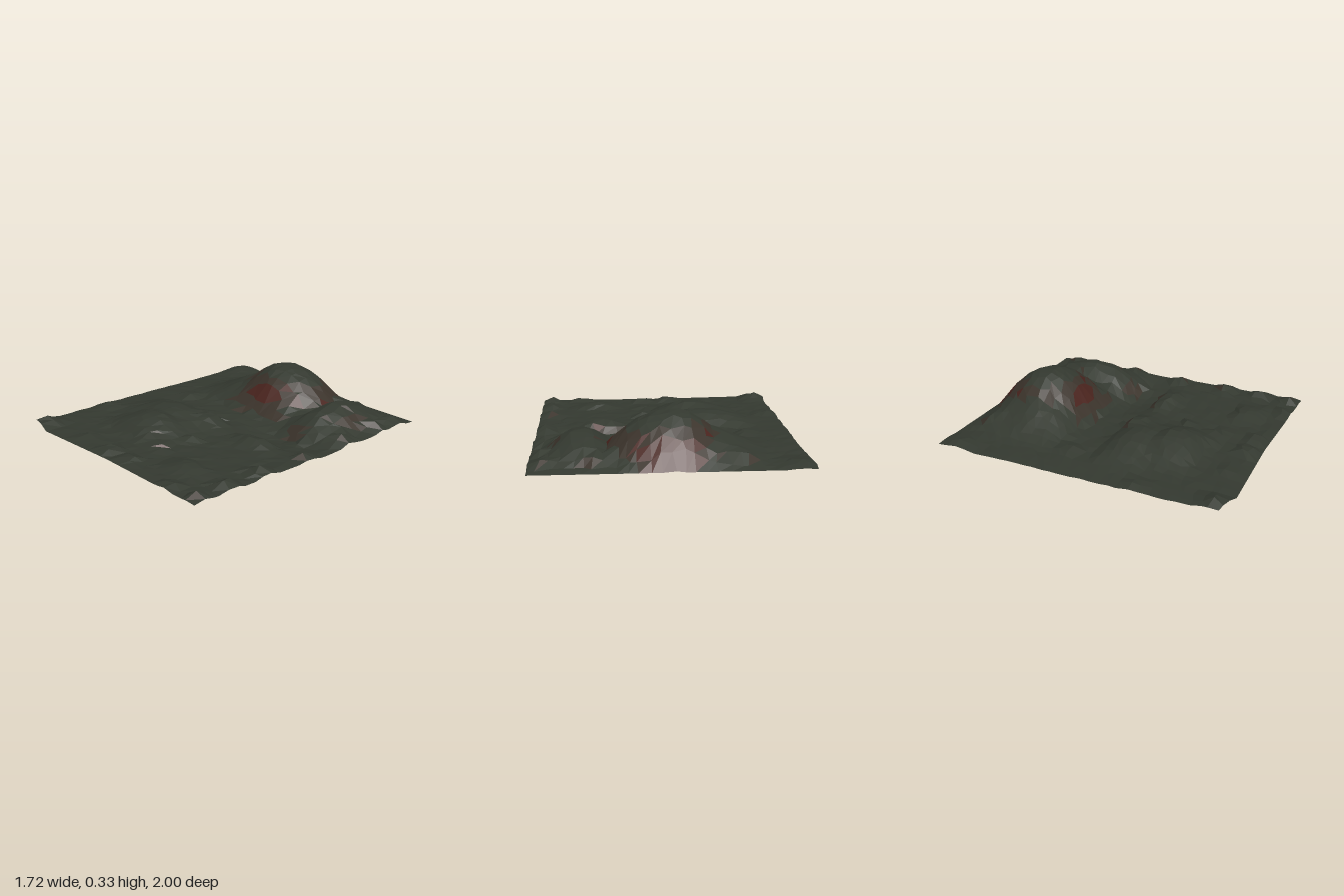
import * as THREE from 'three';

// Mounds with soft sides: x, z, radius left, radius right, radius back, radius front, height
const mounds = [
  [-0.02, -0.63, 0.65, 0.6, 0.35, 0.38, 0.21],   // skirt of the main hill
  [0.55, -0.56, 0.3, 0.28, 0.38, 0.4, 0.155],    // side hill
  [-0.22, 0.41, 0.4, 0.36, 0.2, 0.24, 0.105],    // front mound
  [-0.3, 0.19, 0.45, 0.45, 0.22, 0.22, 0.09],    // middle mound
  [-0.05, 0.07, 0.34, 0.24, 0.09, 0.16, 0.068],  // red bank
  [0.42, 0.08, 0.24, 0.24, 0.08, 0.12, 0.055],
  [0.45, 0.68, 0.22, 0.2, 0.1, 0.12, 0.04],
];
// Round crown of the main hill, same order of values
const crown = [-0.01, -0.63, 0.39, 0.47, 0.375, 0.345, 0.288];
// Small rocks: x, z, radius, height
const rocks = [
  [0.8, -0.85, 0.11, 0.06], [0.8, -0.68, 0.1, 0.055], [0.8, -0.35, 0.1, 0.06], [0.8, 0.02, 0.09, 0.05],
  [0.8, 0.39, 0.1, 0.06], [0.8, 0.66, 0.1, 0.055], [0.8, 0.88, 0.09, 0.045],
  [0.1, 0.86, 0.1, 0.04], [-0.09, 0.86, 0.1, 0.045], [0.08, 0.62, 0.09, 0.03], [-0.08, 0.62, 0.09, 0.02],
  [0.12, 0.38, 0.08, 0.035], [-0.38, 0.86, 0.09, 0.025], [-0.44, -0.84, 0.1, 0.03], [0.58, 0.9, 0.09, 0.035],
  [-0.77, -0.88, 0.16, 0.035], [-0.78, 0.91, 0.13, 0.05], [-0.78, 0.4, 0.12, 0.025], [-0.56, -0.18, 0.1, 0.035],
  [0.45, -0.86, 0.12, 0.035], [0.57, -0.12, 0.08, 0.03],
];

// Position inside a mound: 0 at its middle, 1 at its rim, along x and z
const inside = ([cx, cz, l, r, b, f], x, z) => [
  Math.min(1, Math.abs(x - cx) / (x < cx ? l : r)),
  Math.min(1, Math.abs(z - cz) / (z < cz ? b : f)),
];
const gauss = (x, z, cx, cz, rx, rz) => Math.exp(-(((x - cx) / rx) ** 2) - ((z - cz) / rz) ** 2);

function heightAt(x, z) {
  // the highest mound wins, leaving valleys between neighbours
  const [ux, uz] = inside(crown, x, z);
  let rise = crown[6] * Math.max(0, 1 - ux * ux - uz * uz);
  for (const m of mounds) {
    const [dx, dz] = inside(m, x, z);
    rise = Math.max(rise, m[6] * (1 - dx * dx) ** 2 * (1 - dz * dz));
  }
  let y = 0.05 + rise;
  for (const [cx, cz, r, h] of rocks) y += h * Math.max(0, 1 - Math.hypot(x - cx, z - cz) / r);
  // shoulder sloping off the hill towards the right-hand side
  y += 0.02 * gauss(x, z, -0.45, -0.52, 0.18, 0.24);
  // dry hollow between the hills and the low ground
  y -= 0.052 * gauss(x, z, 0.45, -0.12, 0.31, 0.15);
  return Math.max(0.004, y);
}

function seeded(seed) {
  return () => (seed = (seed * 16807) % 2147483647) / 2147483647;
}

export function createModel() {
  const group = new THREE.Group();
  group.name = 'terrain';
  const rand = seeded(4711);

  // Uneven grid raised by the height rule
  const sheet = new THREE.PlaneGeometry(1.72, 1.96, 26, 30).rotateX(-Math.PI / 2).translate(0, 0, -0.02);
  const pos = sheet.attributes.position;
  for (let i = 0; i < pos.count; i++) {
    let x = pos.getX(i), z = pos.getZ(i);
    const onSide = Math.abs(x) > 0.855, onEnd = z > 0.955 || z < -0.995;
    const jx = (rand() - 0.5) * 0.04, jz = (rand() - 0.5) * 0.04, bump = rand() * 0.008;
    // the right-hand edge is slightly ragged
    if (!onSide) x += jx;
    else if (x < 0) x += Math.abs(jx) * 0.5;
    if (!onEnd) z += jz;
    const y = heightAt(x, z) + (onSide || onEnd ? 0 : bump);
    // front edge swells to a point near the right corner
    if (z > 0.955 && x < 0) z += 0.04 * Math.max(0, x > -0.68 ? -x / 0.68 : (x + 0.86) / 0.18);
    pos.setXYZ(i, x, y, z);
  }
  sheet.computeBoundingBox();
  sheet.translate(0, -sheet.boundingBox.min.y, 0);

  // Sort the faces by steepness: ground, weathered slope, bare red rock
  const layers = [
    { name: 'ground', color: 0x343930, minSlope: 0, points: [] },
    { name: 'weatheredSlope', color: 0x3b332b, minSlope: 0.75, points: [] },
    { name: 'redRock', color: 0x4a241e, minSlope: 1.05, points: [] },
  ];
  const flat = sheet.toNonIndexed().attributes.position;
  const tri = new THREE.Triangle(), n = new THREE.Vector3();
  for (let i = 0; i < flat.count; i += 3) {
    tri.setFromAttributeAndIndices(flat, i, i + 1, i + 2);
    tri.getNormal(n);
    const slope = Math.hypot(n.x, n.z) / n.y;
    const layer = layers.findLast((l) => slope >= l.minSlope);
    for (const p of [tri.a, tri.b, tri.c]) layer.points.push(p.x, p.y, p.z);
  }
  for (const { name, color, points } of layers) {
    const geo = new THREE.BufferGeometry();
    geo.setAttribute('position', new THREE.Float32BufferAttribute(points, 3));
    geo.computeVertexNormals();
    const mat = new THREE.MeshStandardMaterial({ color, flatShading: true, side: THREE.DoubleSide });
    const mesh = new THREE.Mesh(geo, mat);
    mesh.name = name;
    group.add(mesh);
  }
  return group;
}
